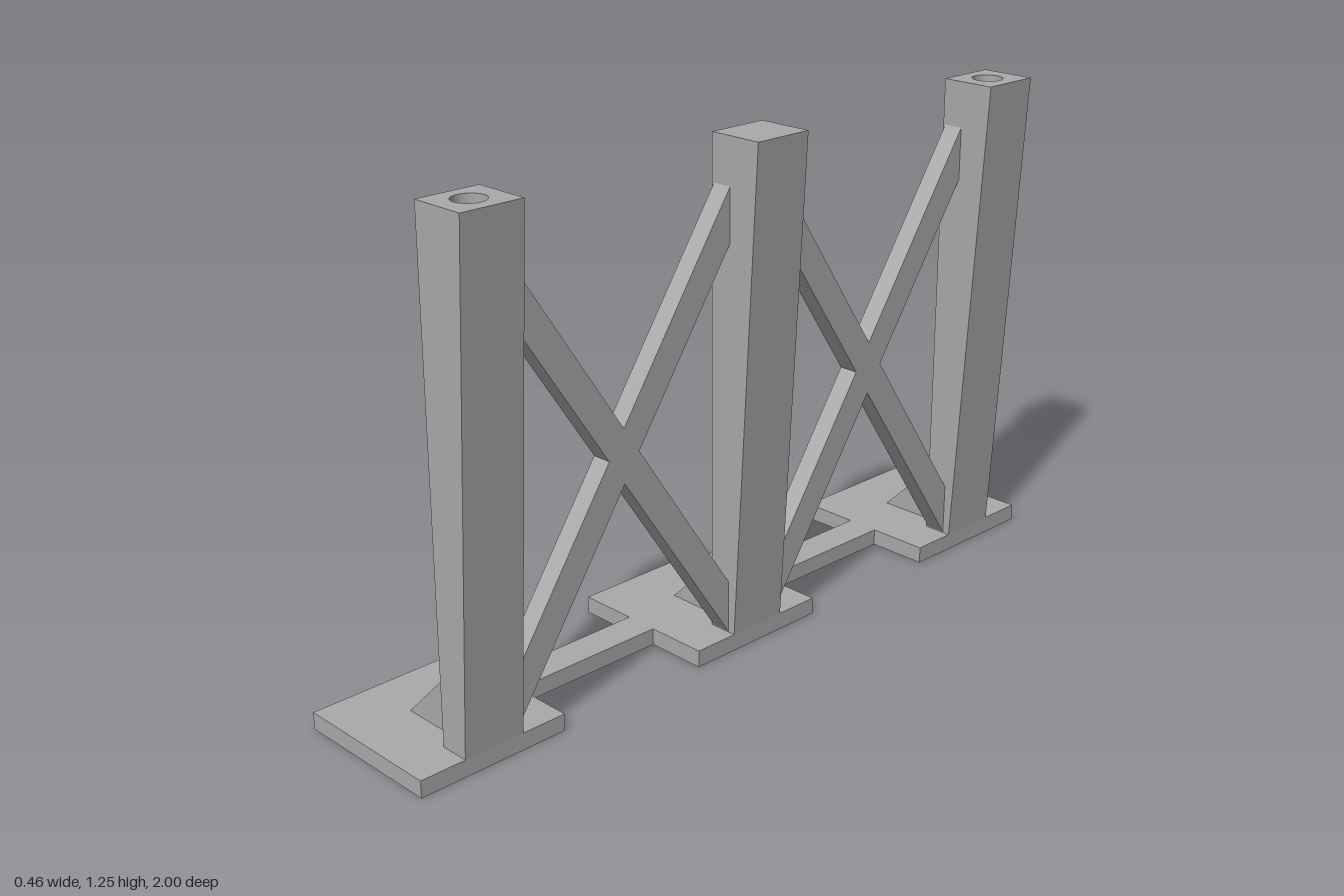
import * as THREE from 'three';

const SPACING = 0.804, PLATE_TOP = 0.042, TOP = 1.25;
const INNER = 0.087, HALF = 0.079, HOLE_DEPTH = 0.04;

export function createModel() {
  const group = new THREE.Group();
  const gray = new THREE.MeshStandardMaterial({ color: 0xaaaaaa });
  gray.name = 'plain gray';

  const add = (geometry, name) => {
    const mesh = new THREE.Mesh(geometry, gray);
    mesh.name = name;
    group.add(mesh);
    return mesh;
  };
  const box = (name, x0, x1, y0, y1, z0, z1) => {
    const g = new THREE.BoxGeometry(x1 - x0, y1 - y0, z1 - z0);
    return add(g.translate((x0 + x1) / 2, (y0 + y1) / 2, (z0 + z1) / 2), name);
  };
  const polygon = (points) => new THREE.Shape(points.map(([x, y]) => new THREE.Vector2(x, y)));
  const extrude = (shape, depth) =>
    new THREE.ExtrudeGeometry(shape, { depth, bevelEnabled: false, curveSegments: 32 });

  // Outer face of a post leans outward with height
  const outerX = (y) => 0.162 + (0.228 - 0.162) * (y - PLATE_TOP) / (TOP - PLATE_TOP);

  const postSection = (name, y0, y1, z, hole) => {
    const w = 0.228 - INNER;
    const shape = polygon([[INNER, -HALF], [INNER + w, -HALF], [INNER + w, HALF], [INNER, HALF]]);
    if (hole) shape.holes.push(new THREE.Path().absarc(0.156, 0, 0.038, 0, Math.PI * 2, true));
    const g = extrude(shape, y1 - y0).rotateX(-Math.PI / 2).translate(0, y0, z);
    const p = g.attributes.position;
    for (let i = 0; i < p.count; i++) {
      const scale = (outerX(p.getY(i)) - INNER) / w;
      p.setX(i, INNER + (p.getX(i) - INNER) * scale);
    }
    g.computeVertexNormals();
    add(g, name);
  };

  for (const z of [-SPACING, 0, SPACING]) {
    box('basePlate', -0.231, 0.162, 0, PLATE_TOP, z - 0.196, z + 0.196);

    // End posts have a blind hole in the top
    if (z === 0) {
      postSection('middlePost', PLATE_TOP, TOP, z, false);
    } else {
      postSection('endPost', PLATE_TOP, TOP - HOLE_DEPTH, z, false);
      postSection('endPostSocket', TOP - HOLE_DEPTH, TOP, z, true);
    }

    // Triangular stiffener behind the post
    const gusset = polygon([[-0.088, PLATE_TOP], [INNER, PLATE_TOP], [INNER, 0.217]]);
    add(extrude(gusset, 0.038).translate(0, 0, z), 'gusset');
  }

  for (const side of [-1, 1]) {
    const zMid = side * SPACING / 2;
    // Floor strip between plates
    box('connectingStrip', -0.08, 0.005, 0, PLATE_TOP, zMid - 0.206, zMid + 0.206);

    // Crossed braces between posts, cut vertically at both ends
    const h = SPACING / 2 - HALF, low = 0.044, high = 1.005, t = 0.131;
    for (const dir of [-1, 1]) {
      const [a, b] = dir > 0 ? [low, high] : [high, low];
      const brace = polygon([[-h, a], [h, b], [h, b + t], [-h, a + t]]);
      add(extrude(brace, 0.05).rotateY(Math.PI / 2).translate(0.093, 0, zMid), 'crossBrace');
    }
  }
  return group;
}
